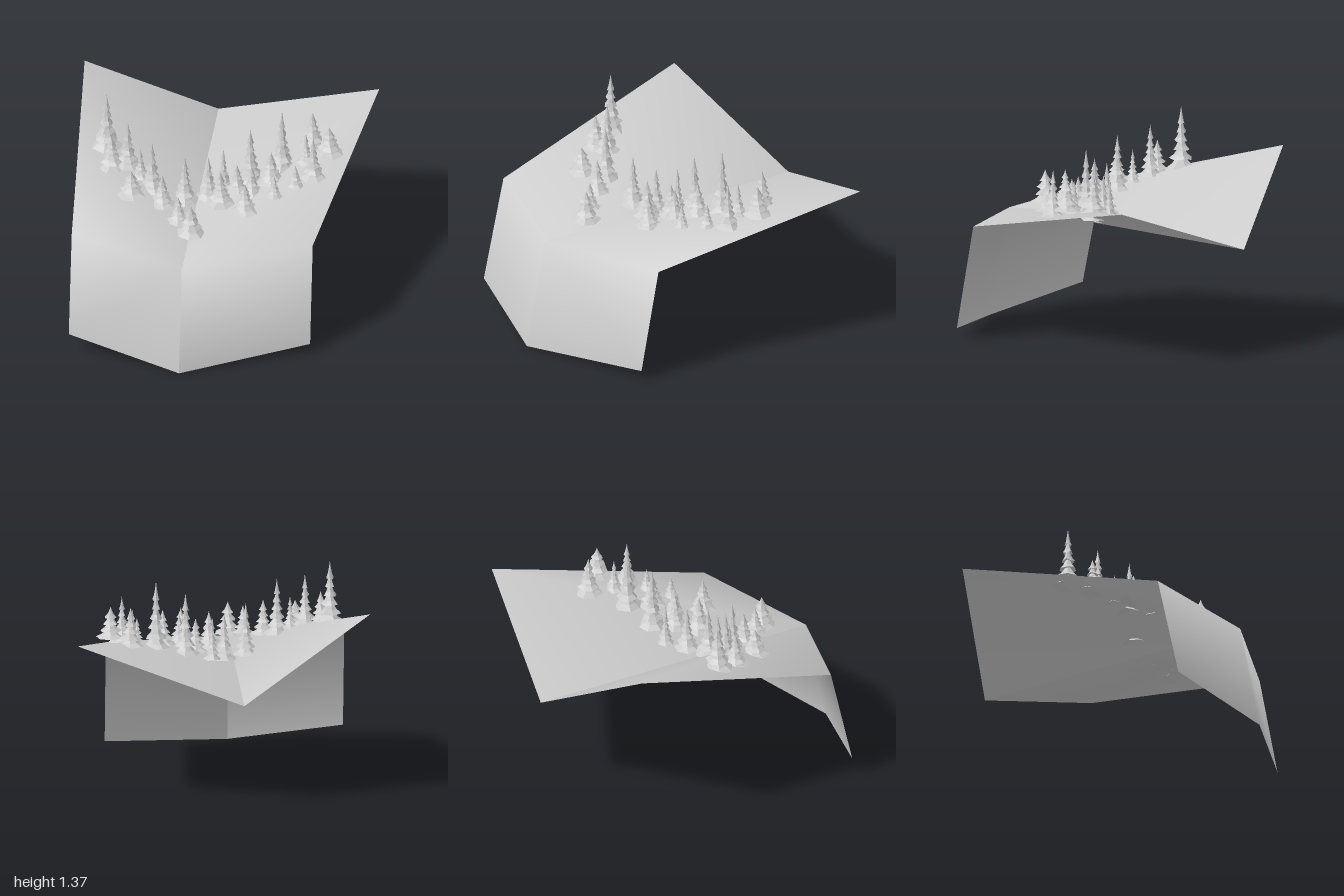
import * as THREE from 'three';
import { mergeGeometries } from 'three/addons/utils/BufferGeometryUtils.js';

// Terrain corners: foot of the cliff, cliff edge, back rim
const MID = [[-0.12, 0, 1], [-0.12, 0.7, 0.86], [-0.12, 0.64, -1]];
const LEFT_SIDE = [[-0.84, 0.12, 0.83], [-0.84, 0.785, 0.68], [-0.93, 1.155, -0.69]];
const RIGHT_SIDE = [[0.67, 0.065, 0.67], [0.67, 0.73, 0.54], [0.92, 1, -0.83]];

// One half of the folded terrain, smooth within itself and creased at the valley
function terrainHalf(outer, flip) {
  const points = [];
  for (let i = 0; i < 3; i++) points.push(...outer[i], ...MID[i]);
  const index = [0, 1, 3, 0, 3, 2, 2, 3, 4, 3, 5, 4];
  if (flip) index.reverse();
  const geo = new THREE.BufferGeometry();
  geo.setAttribute('position', new THREE.Float32BufferAttribute(points, 3));
  geo.setIndex(index);
  geo.computeVertexNormals();
  return geo;
}

// Point where the line from a to b crosses depth z
function crossing(a, b, z) {
  const t = (z - a[2]) / (b[2] - a[2]);
  return [a[0] + (b[0] - a[0]) * t, a[1] + (b[1] - a[1]) * t];
}

// Height of the slope under a tree
function ground(x, z) {
  const side = x < MID[1][0] ? LEFT_SIDE : RIGHT_SIDE;
  const valley = crossing(MID[1], MID[2], z);
  const ridge = crossing(MID[1], side[2], z);
  const edge = crossing(side[1], side[2], z);
  const inner = Math.abs(x - valley[0]) < Math.abs(ridge[0] - valley[0]);
  const [p, q] = inner ? [valley, ridge] : [ridge, edge];
  return p[1] + (q[1] - p[1]) * (x - p[0]) / (q[0] - p[0]);
}

// Conifer of stacked, flared skirts with a wavy hem
function treeGeometry(radius, height, seed) {
  const tiers = height / radius > 3 ? 6 : height / radius > 2.4 ? 5 : 4;
  const step = height * 0.86 / tiers;
  const parts = [];
  for (let i = 0; i < tiers; i++) {
    const r = radius * Math.pow(0.75, i);
    const y = i * step;
    const h = i === tiers - 1 ? height - y : step * 1.9;
    const profile = [[0, 0.2 * step], [r, 0], [r * 0.62, h * 0.24], [r * 0.3, h * 0.58], [0, h]]
      .map(([px, py]) => new THREE.Vector2(px, py));
    const geo = new THREE.LatheGeometry(profile, 7);
    const pos = geo.attributes.position;
    for (let k = 0; k < pos.count; k++) {
      const px = pos.getX(k), pz = pos.getZ(k);
      const rim = Math.hypot(px, pz) / r;
      const wave = Math.sin(Math.atan2(pz, px) * 3 + seed * 2.3 + i);
      const s = 1 + 0.07 * wave * rim;
      pos.setXYZ(k, px * s, pos.getY(k) + 0.1 * step * wave * rim * rim, pz * s);
    }
    geo.rotateY(seed * 1.7 + i * 0.8);
    geo.translate(0, y, 0);
    parts.push(geo);
  }
  return mergeGeometries(parts);
}

// Trees: x, z, skirt radius, top height, lift above the slope
const TREES = [
  [-0.71, -0.05, 0.098, 1.365, 0], [-0.66, 0.10, 0.09, 1.14, -0.01], [-0.56, 0.08, 0.08, 1.255, 0],
  [-0.47, 0.15, 0.055, 1.10, 0], [-0.39, 0.21, 0.085, 1.20, 0], [-0.51, 0.31, 0.09, 1.04, 0],
  [-0.31, 0.33, 0.08, 1.04, 0.02], [-0.19, 0.14, 0.085, 1.06, 0.01], [-0.19, 0.47, 0.07, 0.975, 0.07],
  [-0.10, 0.56, 0.09, 0.98, 0.08], [-0.05, 0.06, 0.08, 1.01, 0.02], [0.03, -0.05, 0.055, 1.01, 0.02],
  [0.04, 0.19, 0.09, 1.0, 0.03], [0.13, 0.07, 0.08, 0.98, 0.01], [0.20, -0.06, 0.09, 1.17, 0],
  [0.23, 0.11, 0.07, 1.0, 0], [0.21, 0.30, 0.085, 1.0, 0], [0.34, 0.01, 0.09, 1.05, 0],
  [0.39, -0.14, 0.09, 1.265, 0], [0.38, 0.16, 0.05, 0.97, 0], [0.50, 0.05, 0.052, 0.99, 0],
  [0.54, -0.16, 0.06, 1.09, 0], [0.60, -0.04, 0.08, 1.15, 0], [0.68, -0.21, 0.09, 1.12, 0.04],
  [0.56, -0.33, 0.09, 1.14, 0],
];

export function createModel() {
  const model = new THREE.Group();
  const ground3d = new THREE.MeshStandardMaterial({ color: 0xcccccc, side: THREE.DoubleSide });
  const foliage = new THREE.MeshStandardMaterial({ color: 0xcccccc, flatShading: true });

  // Folded hillside with its cliff front
  const leftHalf = new THREE.Mesh(terrainHalf(LEFT_SIDE, false), ground3d);
  leftHalf.name = 'hillsideRight';
  const rightHalf = new THREE.Mesh(terrainHalf(RIGHT_SIDE, true), ground3d);
  rightHalf.name = 'hillsideLeft';
  model.add(leftHalf, rightHalf);

  // Forest
  const forest = new THREE.Group();
  forest.name = 'forest';
  TREES.forEach(([x, z, radius, top, lift], i) => {
    const base = ground(x, z) + lift;
    const tree = new THREE.Mesh(treeGeometry(radius, top - base, i + 1), foliage);
    tree.name = 'tree' + (i + 1);
    tree.position.set(x, base, z);
    forest.add(tree);
  });
  model.add(forest);
  return model;
}
